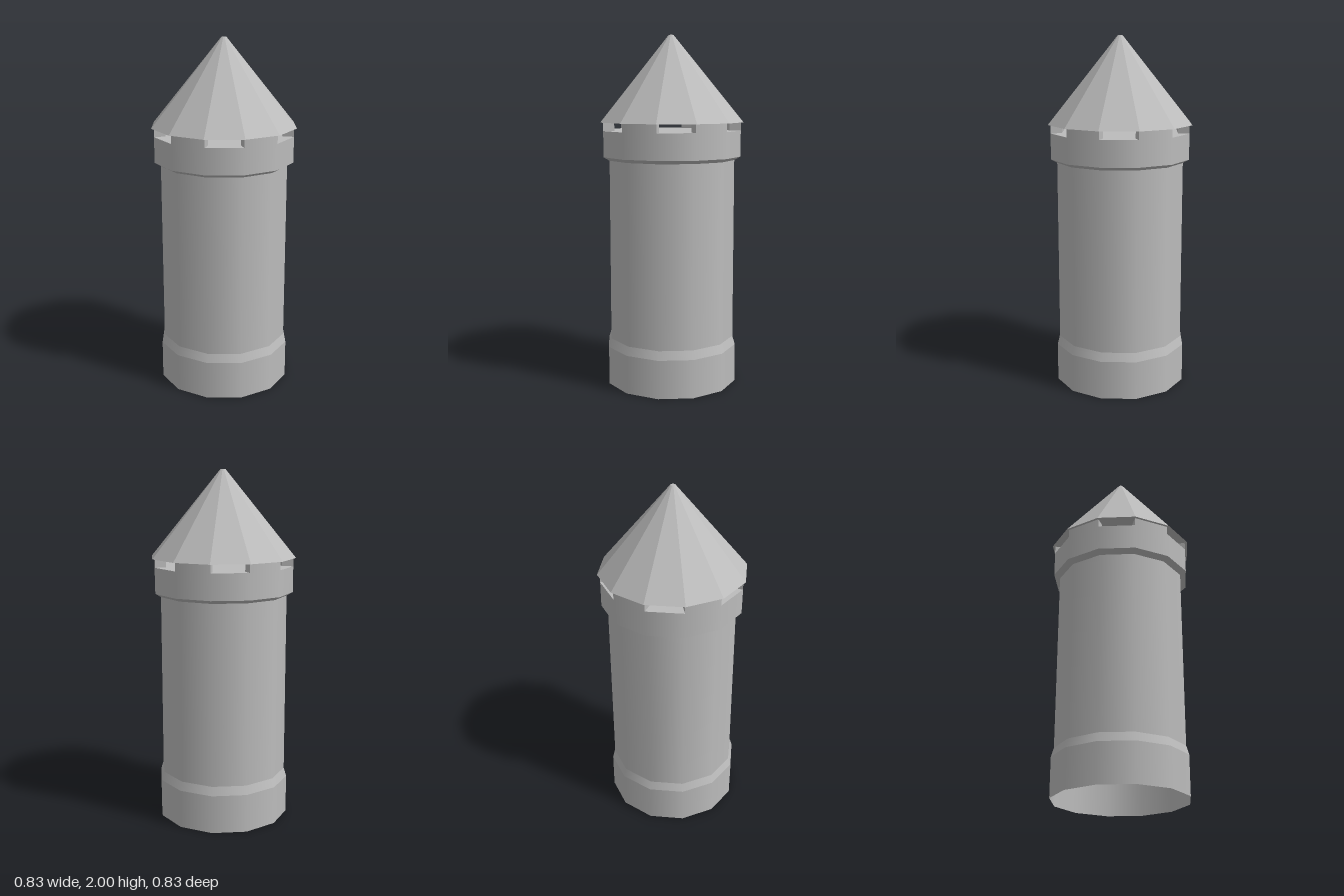
import * as THREE from 'three';

const SIDES = 12;
const STEP = (Math.PI * 2) / SIDES;

export function createModel() {
  const stone = new THREE.MeshStandardMaterial({ color: 0xbcbcbc, side: THREE.DoubleSide });
  stone.name = 'grey stone';
  const tower = new THREE.Group();
  tower.name = 'tower';

  const add = (name, geometry, y = 0) => {
    const mesh = new THREE.Mesh(geometry, stone);
    mesh.name = name;
    mesh.position.y = y;
    tower.add(mesh);
    return mesh;
  };

  // Open band between two heights, smooth around and creased at its rims
  const band = (name, r0, y0, r1, y1) =>
    add(name, new THREE.CylinderGeometry(r1, r0, y1 - y0, SIDES, 1, true), (y0 + y1) / 2);

  band('base', 0.38, 0, 0.38, 0.22);
  band('baseBevel', 0.38, 0.22, 0.365, 0.27);
  band('shaft', 0.365, 0.27, 0.365, 1.3);
  band('parapetBevel', 0.365, 1.3, 0.4, 1.32);
  band('parapet', 0.4, 1.32, 0.4, 1.466);

  // Floor at the foot of the battlements
  add('parapetFloor', new THREE.CircleGeometry(0.4, SIDES).rotateX(-Math.PI / 2), 1.466);

  // Merlons stand on every second side, leaving gaps between them
  for (let i = 1; i < SIDES; i += 2) add('merlon', merlonGeometry(i * STEP), 1.466);

  // Faceted roof with a tiny flat tip
  const roof = new THREE.CylinderGeometry(0.014, 0.415, 0.487, SIDES).toNonIndexed();
  roof.computeVertexNormals();
  add('roof', roof, 1.7565);

  return tower;
}

// Wall block over one side, its outer face shaded smoothly with the parapet
function merlonGeometry(angle) {
  const corner = (r, a) => new THREE.Vector2(r * Math.sin(a), -r * Math.cos(a));
  const shape = new THREE.Shape([
    corner(0.4, angle), corner(0.4, angle + STEP),
    corner(0.336, angle + STEP), corner(0.336, angle),
  ]);
  const geometry = new THREE.ExtrudeGeometry(shape, { depth: 0.047, bevelEnabled: false });
  geometry.rotateX(-Math.PI / 2);
  const p = geometry.attributes.position;
  const n = geometry.attributes.normal;
  for (let i = 0; i < p.count; i++) {
    const r = Math.hypot(p.getX(i), p.getZ(i));
    const out = (p.getX(i) * n.getX(i) + p.getZ(i) * n.getZ(i)) / r;
    if (out > 0.9) n.setXYZ(i, p.getX(i) / r, 0, p.getZ(i) / r);
  }
  return geometry;
}
